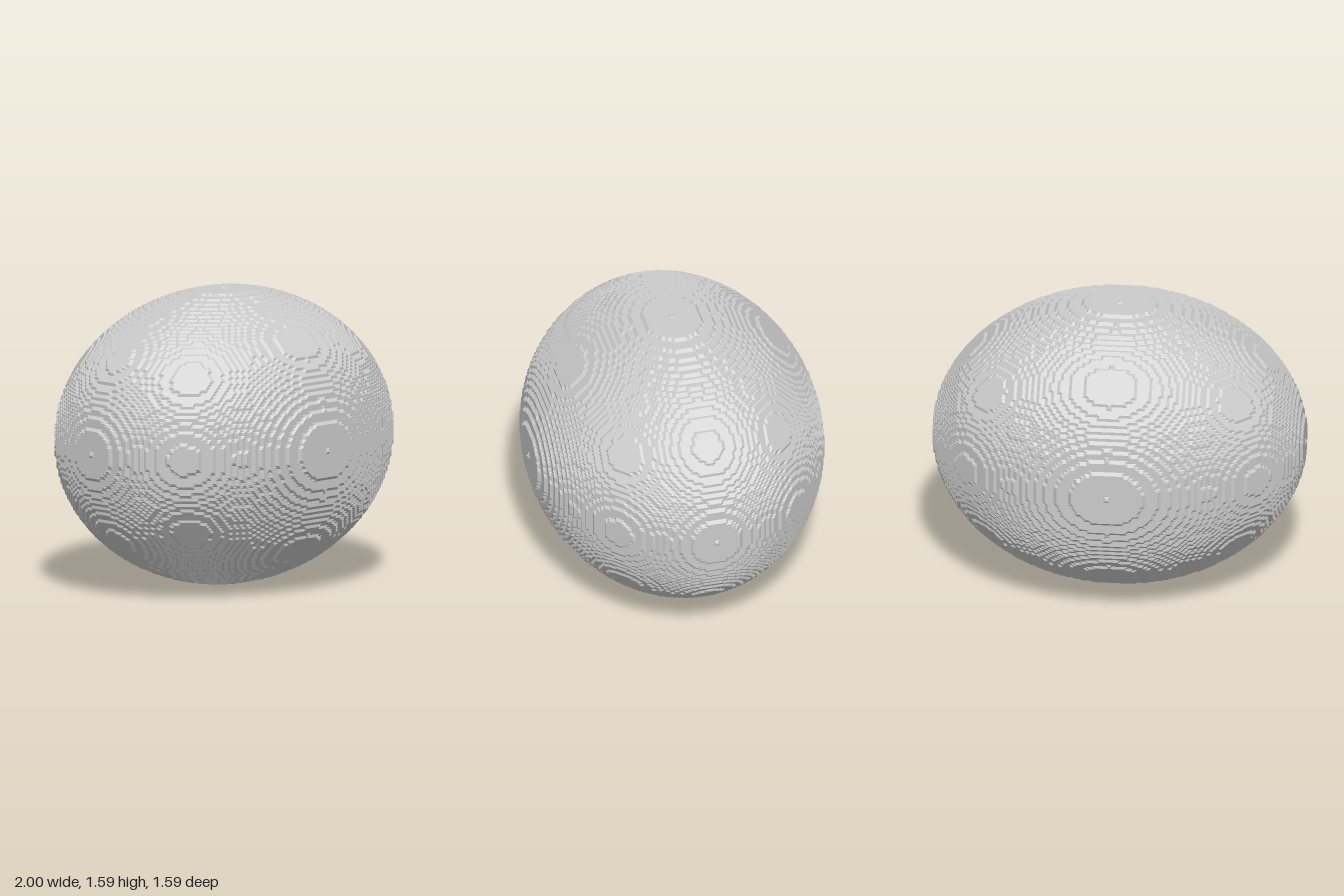
import * as THREE from 'three';

// Half-lengths of the ellipsoid in voxels, and the size of one voxel
const A = 63, B = 50;
const H = 1 / (A + 0.5);

const inside = (x, y, z) => x * x * B * B + (y * y + z * z) * A * A <= A * A * B * B;

// The twelve edges of a unit cell, as pairs of corners
const EDGES = [];
for (let axis = 0; axis < 3; axis++) {
  for (let p = 0; p < 2; p++) for (let q = 0; q < 2; q++) {
    const from = [0, 0, 0];
    from[(axis + 1) % 3] = p;
    from[(axis + 2) % 3] = q;
    const to = from.slice();
    to[axis] = 1;
    EDGES.push([from, to]);
  }
}

// Polygon that cuts one cell, through the midpoints of the edges crossing the surface,
// ordered anticlockwise as seen from outside the positive octant
function cellPolygon(i, j, k) {
  const pts = [];
  for (const [a, b] of EDGES) {
    if (inside(i + a[0], j + a[1], k + a[2]) !== inside(i + b[0], j + b[1], k + b[2])) {
      pts.push([0, 1, 2].map((n) => (a[n] + b[n]) / 2));
    }
  }
  const c = [0, 1, 2].map((n) => pts.reduce((sum, p) => sum + p[n], 0) / pts.length);
  const angle = (p) => {
    const [x, y, z] = p.map((v, n) => v - c[n]);
    return Math.atan2((x + y - 2 * z) / Math.sqrt(6), (x - y) / Math.SQRT2);
  };
  pts.sort((p, q) => angle(p) - angle(q));
  return pts.map((p) => [p[0] + i, p[1] + j, p[2] + k]);
}

// Stepped surface: one octant, mirrored into all eight
function steppedEllipsoid() {
  const positions = [];
  const emit = (poly) => {
    for (const sx of [1, -1]) for (const sy of [1, -1]) for (const sz of [1, -1]) {
      const flip = sx * sy * sz < 0;
      for (let n = 1; n < poly.length - 1; n++) {
        const tri = flip ? [poly[0], poly[n + 1], poly[n]] : [poly[0], poly[n], poly[n + 1]];
        for (const [x, y, z] of tri) positions.push(sx * x * H, sy * y * H, sz * z * H);
      }
    }
  };
  for (let i = 0; i <= A; i++) for (let j = 0; j <= B; j++) for (let k = 0; k <= B; k++) {
    if (!inside(i, j, k)) break;
    if (!inside(i + 1, j + 1, k + 1)) emit(cellPolygon(i, j, k));
  }
  const geometry = new THREE.BufferGeometry();
  geometry.setAttribute('position', new THREE.Float32BufferAttribute(positions, 3));
  geometry.computeVertexNormals();
  return geometry;
}

export function createModel() {
  const group = new THREE.Group();
  group.name = 'voxelEllipsoid';
  const material = new THREE.MeshStandardMaterial({ color: 0xcccccc, flatShading: true });
  const shell = new THREE.Mesh(steppedEllipsoid(), material);
  shell.name = 'steppedShell';
  shell.position.y = (B + 0.5) * H; // lowest tip rests on the ground
  group.add(shell);
  return group;
}
